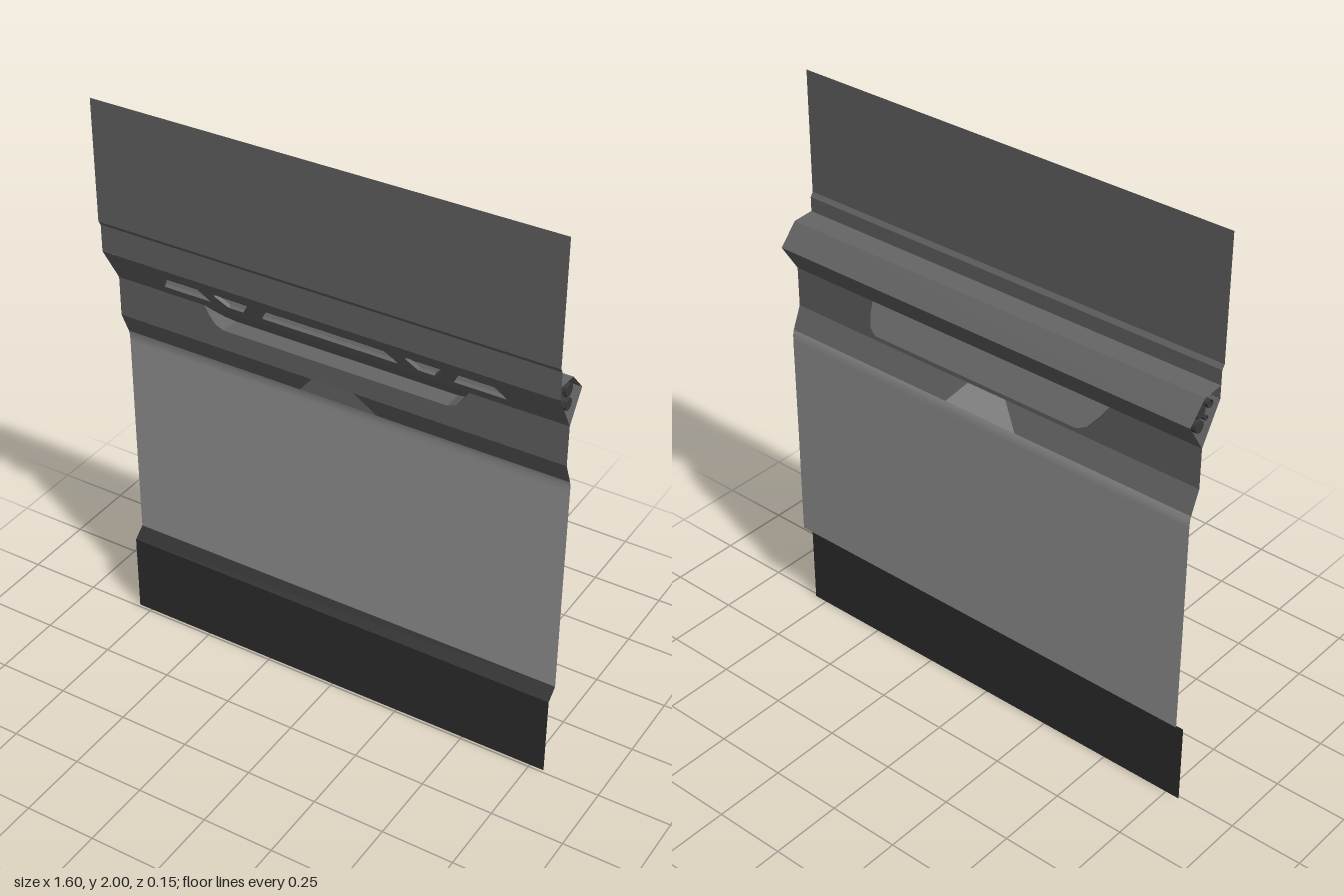
import * as THREE from 'three';

const mat = (name, color) => {
  const m = new THREE.MeshStandardMaterial({ color, side: THREE.DoubleSide });
  m.name = name;
  return m;
};

// Sheet spanned between rows of [x, y, z] points
function loft(rows, smooth = false) {
  const n = rows[0].length, index = [];
  for (let i = 0; i < rows.length - 1; i++)
    for (let j = 0; j < n - 1; j++) {
      const a = i * n + j, b = a + 1, c = a + n, d = c + 1;
      index.push(a, c, b, b, c, d);
    }
  let geo = new THREE.BufferGeometry();
  geo.setAttribute('position', new THREE.Float32BufferAttribute(rows.flat(2), 3));
  geo.setIndex(index);
  if (!smooth) geo = geo.toNonIndexed();
  geo.computeVertexNormals();
  return geo;
}

// Straight profile of [y, z] points (top to bottom), run across the panel width
const W = 0.8;
const band = (profile, smooth) =>
  loft(profile.map(([y, z]) => [[-W, y, z], [W, y, z]]), smooth);

const toShape = pts => new THREE.Shape(pts.map(([x, y]) => new THREE.Vector2(x, y)));
const mirrorX = pts => pts.map(([x, y]) => [-x, y]).reverse();

export function createModel() {
  const group = new THREE.Group();
  const wall = mat('wallGrey', 0x666666);
  const light = mat('lightGrey', 0x999999);
  const base = mat('baseGrey', 0x2f2f2f);
  const pipeMat = mat('pipeGrey', 0x3a3a3a);
  const add = (name, geo, material, parent = group) => {
    const m = new THREE.Mesh(geo, material);
    m.name = name;
    parent.add(m);
    return m;
  };

  // Upper panel with its small inward step
  add('upperPanel', band([[2, 0.075], [1.58, 0.075], [1.565, 0.065], [1.47, 0.065]]), wall);

  // Open-ended channel behind the slotted face
  add('backChannel', band([[1.515, 0.065], [1.51, -0.01], [1.44, -0.075], [1.34, -0.01]]), wall);

  // Slanted face with five slots, each with a short inner rim
  const slotFace = new THREE.Group();
  slotFace.name = 'slottedFace';
  slotFace.position.set(0, 1.34, -0.01);
  slotFace.rotation.x = Math.atan2(0.075, 0.13);
  group.add(slotFace);
  const lo = 0.04, hi = 0.098;
  const outer = [[0.43, lo], [0.605, lo], [0.6, lo + 0.015], [0.575, hi], [0.46, hi]];
  const inner = [[0.31, lo], [0.365, lo], [0.4, hi - 0.012], [0.4, hi], [0.28, hi], [0.28, hi - 0.012]];
  const center = [[-0.24, lo], [0.24, lo], [0.235, lo + 0.015], [0.205, hi], [-0.205, hi], [-0.235, lo + 0.015]];
  const slots = [outer, inner, center, mirrorX(inner), mirrorX(outer)];
  const face = toShape([[-W, 0], [W, 0], [W, 0.15], [-W, 0.15]]);
  for (const s of slots) {
    face.holes.push(toShape(s));
    const ring = [...s, s[0]];
    add('slotRim', loft([0, -0.012].map(z => ring.map(([x, y]) => [x, y, z]))), wall, slotFace);
  }
  add('slotPlate', new THREE.ShapeGeometry(face), wall, slotFace);

  // Pipes running inside the channel: [y, z, radius, open ends]
  for (const [y, z, r, open] of [
    [1.465, 0.033, 0.013, true], [1.425, 0.018, 0.008, true],
    [1.46, -0.012, 0.022, false], [1.41, -0.014, 0.02, false],
  ]) {
    const pipe = add('pipe', new THREE.CylinderGeometry(r, r, 1.58, 12, 1, open), pipeMat);
    pipe.rotation.z = Math.PI / 2;
    pipe.position.set(0, y, z);
  }

  // Middle wall, notched for the recess
  const half = [[0.4, 1.27], [0.43, 1.282], [0.455, 1.312], [0.47, 1.34]];
  const notch = [...mirrorX(half), ...half];
  add('middleWall', new THREE.ShapeGeometry(
    toShape([[-W, 1.34], ...notch, [W, 1.34], [W, 1.2], [-W, 1.2]])), wall).position.z = -0.01;

  // Recess: sloping back plate plus floor and ends
  const slopeZ = y => -0.01 - (1.34 - y) * 0.94;
  const slope = new THREE.ShapeGeometry(toShape(notch));
  const p = slope.attributes.position;
  for (let i = 0; i < p.count; i++) p.setZ(i, slopeZ(p.getY(i)));
  slope.computeVertexNormals();
  add('recessBack', slope, wall);
  add('recessFloor', loft([
    notch.map(([x, y]) => [x, y, -0.01]),
    notch.map(([x, y]) => [x, y, slopeZ(y)]),
  ]), wall);

  // Slanted ledge in two halves around a light tab
  const ledge = (x0, x1, x2, x3) =>
    loft([[[x0, 1.2, -0.01], [x1, 1.2, -0.01]], [[x2, 1.122, -0.043], [x3, 1.122, -0.043]]]);
  add('ledgeRight', ledge(-W, -0.075, -W, -0.14), wall);
  add('ledgeLeft', ledge(0.075, W, 0.14, W), wall);
  add('ledgeTab', ledge(-0.075, 0.075, -0.14, 0.14), light);

  // Light lower panel with a softly rolled top
  add('lowerPanel', band([[1.122, -0.043], [1.105, -0.047], [1.08, -0.048],
    [0.7, -0.048], [0.325, -0.05]], true), light);

  // Dark base board
  add('baseBoard', band([[0.325, -0.05], [0.29, -0.01], [0, -0.01]]), base);

  return group;
}
